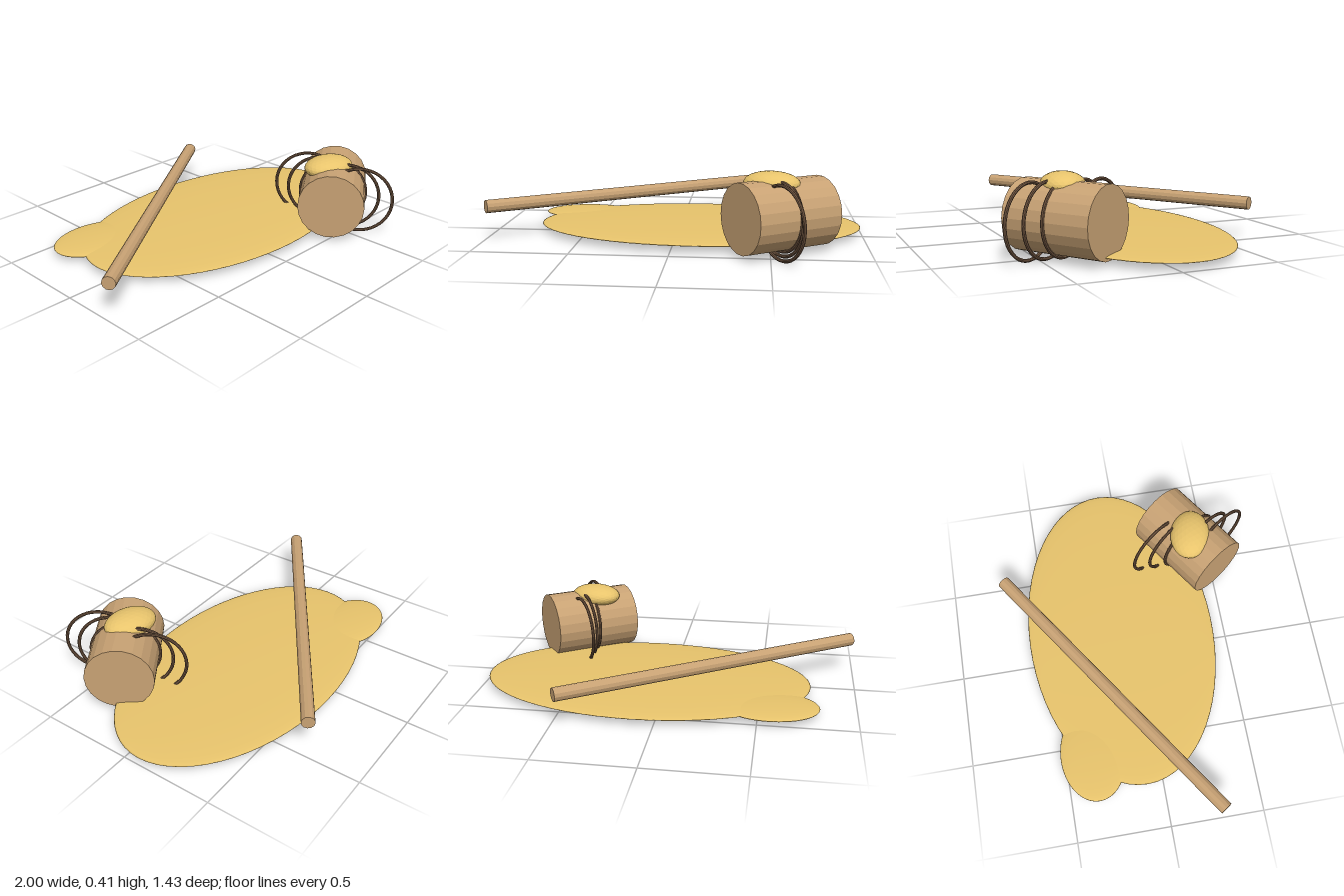
import * as THREE from 'three';

const mat = (color, flatShading = true) => new THREE.MeshStandardMaterial({ color, flatShading });

export function createModel() {
  const model = new THREE.Group();
  const gold = mat(0xe8c46c);
  const goldSmooth = mat(0xe8c46c, false);
  const wood = mat(0xc8a274);
  const darkWood = mat(0x705540);
  const brown = mat(0xa07a48, false);

  function add(name, geometry, material, x, y, z) {
    const mesh = new THREE.Mesh(geometry, material);
    mesh.name = name;
    mesh.position.set(x, y, z);
    model.add(mesh);
    return mesh;
  }

  // Flat spread mat, its darker underside and the small lobe at the back corner
  const disc = new THREE.SphereGeometry(1, 64, 24);
  add('flatMat', disc, goldSmooth, 0.115, 0.038, -0.085).scale.set(0.88, 0.023, 0.52);
  add('matUnderside', disc, brown, 0.115, 0.0295, -0.085).scale.set(0.774, 0.0143, 0.458);
  add('matLobe', disc, goldSmooth, -0.56, 0.036, -0.35).scale.set(0.25, 0.018, 0.175);

  // The pole and the drum share one horizontal axis direction
  const axis = new THREE.Vector3(0.829, 0, -0.559).normalize();
  const turn = new THREE.Quaternion().setFromUnitVectors(new THREE.Vector3(0, 1, 0), axis);
  const pole = add('pole', new THREE.CylinderGeometry(0.035, 0.035, 1.746, 12), wood, -0.257, 0.185, -0.205);
  pole.quaternion.copy(turn);
  const drum = add('drum', new THREE.CylinderGeometry(0.178, 0.178, 0.478, 22), wood, 0.548, 0.195, 0.375);
  drum.quaternion.copy(turn);

  // Five thin hoops, staggered from back to front through the drum
  const hoop = new THREE.TorusGeometry(0.181, 0.009, 8, 40);
  const hoopTurn = new THREE.Quaternion().setFromUnitVectors(new THREE.Vector3(0, 0, 1), axis);
  for (let i = -2; i <= 2; i++) {
    add('hoop', hoop, darkWood, 0.546, 0.19, 0.376 + i * 0.0875).quaternion.copy(hoopTurn);
  }

  // Faceted lump resting on top of the drum
  const lump = add('lump', new THREE.IcosahedronGeometry(1, 4), gold, 0.5, 0.351, 0.37);
  lump.scale.set(0.143, 0.06, 0.108);
  lump.rotation.y = -0.25;

  return model;
}
